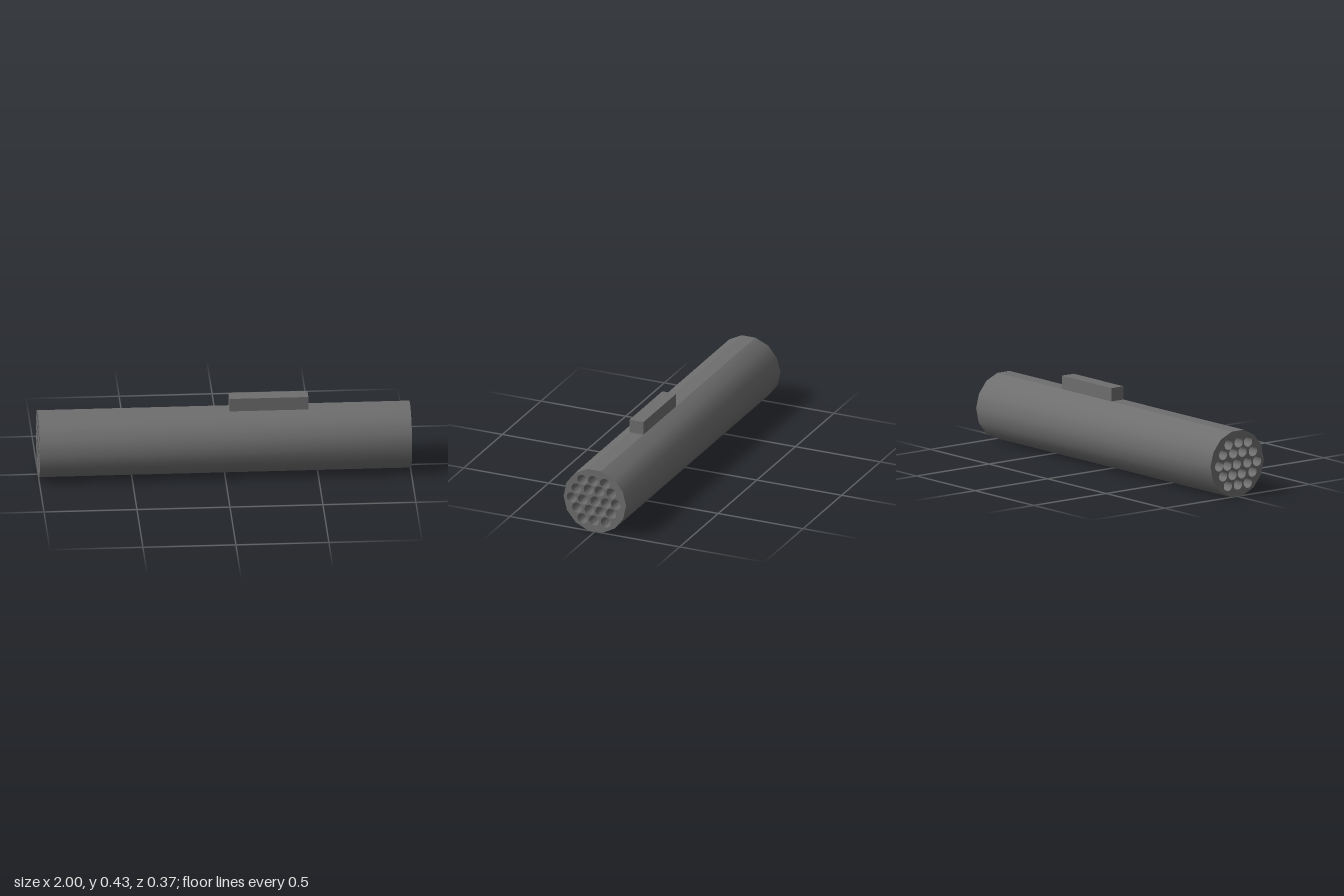
import * as THREE from 'three';
import { toCreasedNormals } from 'three/addons/utils/BufferGeometryUtils.js';

const LENGTH = 2;
const HOLE_RADIUS = 0.0285;
const TOP = 0.359;

// Slightly irregular 14-sided outline, as [z, y]
const OUTLINE = [
  [0.045, TOP], [-0.037, TOP], [-0.112, 0.326], [-0.164, 0.262], [-0.184, 0.185],
  [-0.167, 0.104], [-0.117, 0.039], [-0.043, 0.001], [0.04, 0], [0.113, 0.035],
  [0.165, 0.099], [0.184, 0.177], [0.168, 0.257], [0.118, 0.321],
];

// Bore centres, as [z, y], in rows from top to bottom
const BORES = [
  [0.075, 0.29], [0.01, 0.294], [-0.059, 0.29],
  [0.109, 0.234], [0.037, 0.24], [-0.027, 0.24], [-0.097, 0.24],
  [0.137, 0.176], [0.071, 0.176], [-0.002, 0.177], [-0.066, 0.177], [-0.124, 0.18],
  [0.105, 0.122], [0.032, 0.122], [-0.032, 0.122], [-0.097, 0.122],
  [0.073, 0.065], [0.005, 0.064], [-0.064, 0.065],
];

// Smooth sides, but a sharp edge on each side of the flat top
function sharpenTop(geometry) {
  const { position, normal } = geometry.attributes;
  const flat = geometry.clone();
  flat.computeVertexNormals();
  for (let i = 0; i < position.count; i++) {
    if (position.getY(i) < TOP - 0.001) continue;
    const face = new THREE.Vector3().fromBufferAttribute(flat.attributes.normal, i);
    normal.setXYZ(i, face.x, face.y, face.z);
  }
  return geometry;
}

export function createModel() {
  const group = new THREE.Group();
  group.name = 'tubePod';
  const material = new THREE.MeshStandardMaterial({ color: 0x6e6e6e });

  // Body: the outline with all bores cut through its full length
  const shape = new THREE.Shape(OUTLINE.map(([z, y]) => new THREE.Vector2(-z, y)));
  for (const [z, y] of BORES) {
    // Wound against the outline, so that the bore walls face inwards
    const hole = new THREE.Path();
    hole.absarc(-z, y, HOLE_RADIUS, 0, Math.PI * 2, false);
    shape.holes.push(hole);
  }
  const extruded = new THREE.ExtrudeGeometry(shape, {
    depth: LENGTH, bevelEnabled: false, curveSegments: 16,
  });
  extruded.rotateY(Math.PI / 2).translate(-LENGTH / 2, 0, 0);
  const body = new THREE.Mesh(sharpenTop(toCreasedNormals(extruded, 0.7)), material);
  body.name = 'body';
  group.add(body);

  // Mounting block on the flat top
  const block = new THREE.Mesh(new THREE.BoxGeometry(0.424, 0.074, 0.082), material);
  block.name = 'mountingBlock';
  block.position.set(0.239, 0.395, 0.004);
  group.add(block);

  return group;
}
